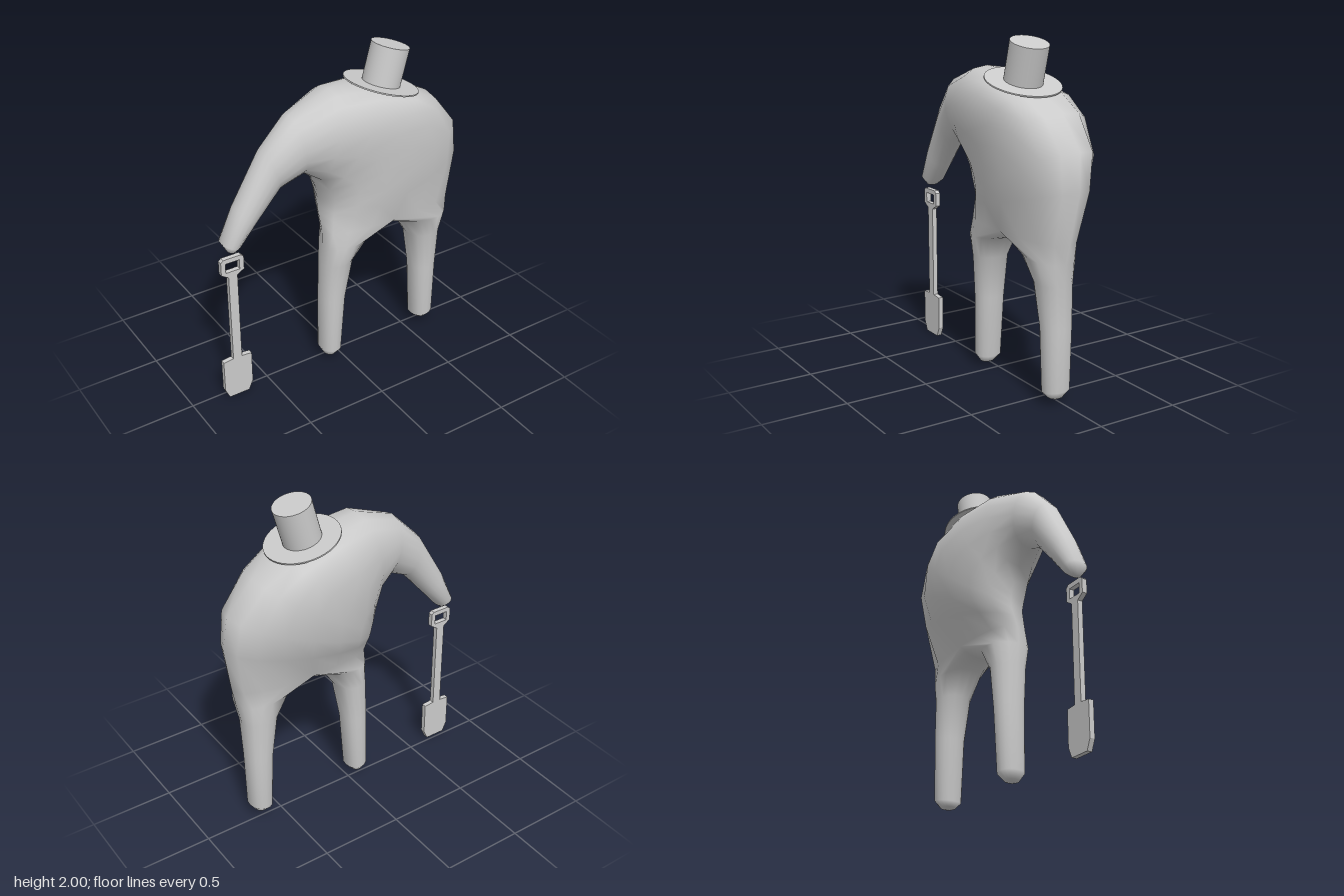
import * as THREE from 'three';
import { mergeVertices } from 'three/addons/utils/BufferGeometryUtils.js';

const N = 16; // points per ring: 0 outer, 4 front, 8 inner, 12 back
const material = new THREE.MeshStandardMaterial({ color: 0xcccccc, side: THREE.DoubleSide });

// Rounded cross-section between two outline points, with front and back depth.
// "skew" moves the thickest place towards the outer point.
function ring([ox, oy, ix, iy, front, back, skew = 0, power = 0.85]) {
  const mid = (front + back) / 2, half = (front - back) / 2;
  return Array.from({ length: N }, (_, j) => {
    const t = (j / N) * Math.PI * 2, sn = Math.sin(t);
    const s = 0.5 + 0.5 * (Math.cos(t) + skew * sn * sn);
    return new THREE.Vector3(
      ix + (ox - ix) * s,
      iy + (oy - iy) * s,
      mid + half * Math.sign(sn) * Math.pow(Math.abs(sn), power)
    );
  });
}

// Ring shrunk to its own centre, closes a tip
function closing(r) {
  const c = new THREE.Vector3();
  r.forEach(p => c.addScaledVector(p, 1 / N));
  return r.map(() => c.clone());
}

function skin(rings, positions, index) {
  const base = positions.length / 3;
  rings.forEach(r => r.forEach(p => positions.push(p.x, p.y, p.z)));
  for (let i = 0; i < rings.length - 1; i++) {
    for (let j = 0; j < N; j++) {
      const a = base + i * N + j, b = base + i * N + (j + 1) % N;
      index.push(a, b, a + N, b, b + N, a + N);
    }
  }
}

function makeBody() {
  const positions = [], index = [];

  // Arm tip, over the shoulder, fanning round into the torso
  const trunk = [
    [-0.735, 1.0, -0.695, 0.995, 0.065, 0.0],
    [-0.768, 1.06, -0.665, 1.02, 0.1, -0.045],
    [-0.68, 1.25, -0.56, 1.14, 0.112, -0.055],
    [-0.5, 1.55, -0.41, 1.31, 0.13, -0.066],
    [-0.33, 1.72, -0.27, 1.37, 0.175, -0.095],
    [-0.07, 1.81, -0.175, 1.29, 0.225, -0.165, 0.15, 0.82],
    [0.2, 1.78, -0.14, 1.2, 0.242, -0.225, 0.3, 0.76],
    [0.44, 1.71, -0.127, 1.13, 0.25, -0.248, 0.38, 0.74],
    [0.62, 1.62, -0.125, 1.08, 0.247, -0.247, 0.28, 0.8],
    [0.78, 1.44, -0.125, 1.04, 0.235, -0.228, 0.12, 0.86],
    [0.805, 1.23, -0.125, 1.0, 0.215, -0.175, 0.03, 0.82],
    [0.757, 0.94, -0.125, 0.93, 0.178, -0.09, -0.05, 0.65]
  ].map(ring);
  skin([closing(trunk[0]), ...trunk], positions, index);

  // The last torso ring splits in two along a saddle between the legs
  const last = trunk[trunk.length - 1];
  const saddle = u => {
    const p = last[4].clone().lerp(last[12], u);
    p.y -= 0.05 * Math.pow(Math.sin(Math.PI * u), 0.7);
    return p;
  };
  const leftTop = last.map((p, j) => (j > 4 && j < 12 ? saddle((j - 4) / 8) : p));
  const rightTop = last.map((p, j) => (j < 4 || j > 12 ? saddle(1 - ((j + 4) % N) / 8) : p));

  const leftLeg = [
    [0.735, 0.83, 0.4, 0.85, 0.172, -0.075, 0, 0.75],
    [0.71, 0.7, 0.49, 0.71, 0.14, -0.065],
    [0.703, 0.45, 0.535, 0.45, 0.118, -0.06],
    [0.697, 0.09, 0.555, 0.07, 0.11, -0.05],
    [0.66, 0.04, 0.585, 0.045, 0.075, -0.015]
  ].map(ring);
  const rightLeg = [
    [0.165, 0.85, -0.126, 0.83, 0.172, -0.075, 0, 0.75],
    [0.07, 0.71, -0.128, 0.7, 0.14, -0.065],
    [0.025, 0.45, -0.131, 0.45, 0.118, -0.06],
    [-0.003, 0.07, -0.135, 0.08, 0.11, -0.05],
    [-0.045, 0.024, -0.11, 0.034, 0.075, -0.015]
  ].map(ring);
  skin([leftTop, ...leftLeg, closing(leftLeg[4])], positions, index);
  skin([rightTop, ...rightLeg, closing(rightLeg[4])], positions, index);

  let geometry = new THREE.BufferGeometry();
  geometry.setAttribute('position', new THREE.Float32BufferAttribute(positions, 3));
  geometry.setIndex(index);
  geometry = mergeVertices(geometry, 1e-4);
  geometry.computeVertexNormals();
  const body = new THREE.Mesh(geometry, material);
  body.name = 'body';
  return body;
}

// Tilted top hat
function makeHat() {
  const hat = new THREE.Group();
  hat.name = 'hat';
  const brim = new THREE.Mesh(new THREE.CylinderGeometry(0.217, 0.217, 0.008, 40), material);
  brim.name = 'hatBrim';
  const crown = new THREE.Mesh(new THREE.CylinderGeometry(0.11, 0.11, 0.228, 40), material);
  crown.name = 'hatCrown';
  crown.position.y = 0.114;
  hat.add(brim, crown);
  hat.position.set(0.284, 1.752, 0.023);
  hat.rotation.z = -0.268;
  return hat;
}

// Flat spade with a looped grip
function makeShovel() {
  const half = [
    [0.065, 0], [0.092, 0.06], [0.092, 0.264], [0.028, 0.27], [0.028, 0.838],
    [0.072, 0.866], [0.072, 0.947], [0.056, 0.962]
  ];
  const outline = [...half, ...half.map(([x, y]) => [-x, y]).reverse()];
  const shape = new THREE.Shape(outline.map(([x, y]) => new THREE.Vector2(x, y)));
  shape.holes.push(new THREE.Path(
    [[-0.044, 0.873], [-0.044, 0.933], [0.044, 0.933], [0.044, 0.873]].map(([x, y]) => new THREE.Vector2(x, y))
  ));
  const shovel = new THREE.Mesh(
    new THREE.ExtrudeGeometry(shape, { depth: 0.03, bevelEnabled: false }), material);
  shovel.name = 'shovel';
  shovel.position.set(-0.715, 0, 0.02);
  return shovel;
}

export function createModel() {
  const model = new THREE.Group();
  model.name = 'figureWithHatAndShovel';
  model.add(makeBody(), makeHat(), makeShovel());
  return model;
}
